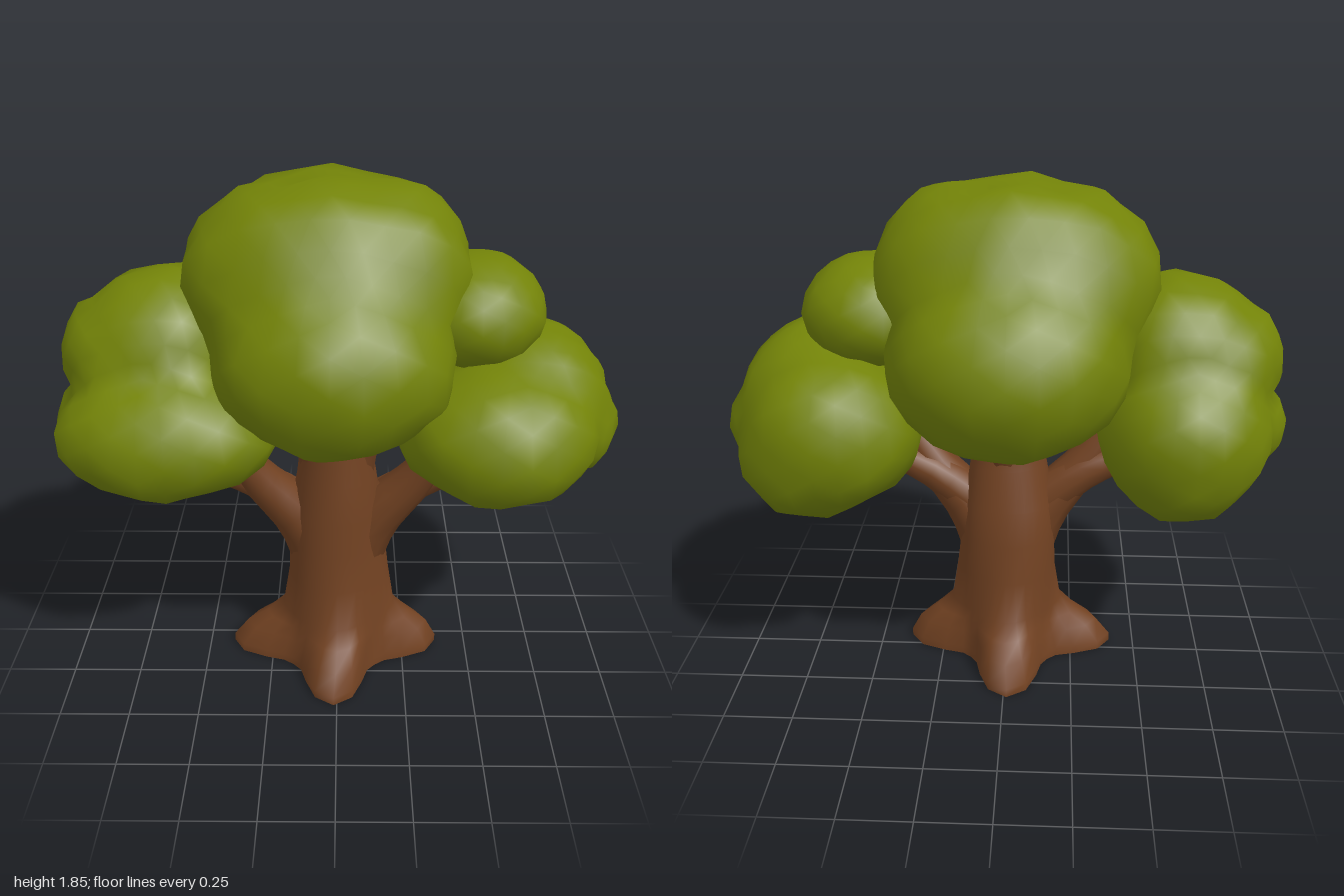
import * as THREE from 'three';
import { mergeVertices } from 'three/addons/utils/BufferGeometryUtils.js';

const leaf = new THREE.MeshStandardMaterial({ color: 0x738308 });
leaf.name = 'leaf green';
const bark = new THREE.MeshStandardMaterial({ color: 0x724222 });
bark.name = 'bark brown';

function add(parent, geometry, material, name) {
  const mesh = new THREE.Mesh(geometry, material);
  mesh.name = name;
  parent.add(mesh);
}

// Distance from the centre, along dir, to the far side of an ellipsoid lump
function reach(centre, dir, [c, r]) {
  const o = new THREE.Vector3(...centre).sub(new THREE.Vector3(...c)).divide(new THREE.Vector3(...r));
  const d = dir.clone().divide(new THREE.Vector3(...r));
  const a = d.dot(d), b = o.dot(d);
  const disc = b * b - a * (o.dot(o) - 1);
  return disc > 0 ? (-b + Math.sqrt(disc)) / a : 0;
}

// One skin wrapped around several overlapping lumps [centre, radii]
function foliageGeometry(centre, lumps, detail, seed) {
  let g = new THREE.IcosahedronGeometry(1, detail);
  g.deleteAttribute('uv');
  g.deleteAttribute('normal');
  g = mergeVertices(g, 1e-4);
  const p = g.attributes.position;
  const d = new THREE.Vector3();
  for (let i = 0; i < p.count; i++) {
    d.fromBufferAttribute(p, i).normalize();
    const rough = 1 + 0.015 * Math.sin(13 * d.x + 8 * d.y + seed) + 0.013 * Math.sin(14 * d.z - 9 * d.y + seed * 2.3);
    const r = rough * Math.max(...lumps.map((lump) => reach(centre, d, lump)));
    p.setXYZ(i, centre[0] + d.x * r, centre[1] + d.y * r, centre[2] + d.z * r);
  }
  g.computeVertexNormals();
  return g;
}

// Skin over rings [y, radius, root length, centre x, centre z]; roots point along x and z
function ringSkin(rings, sides = 32) {
  const pos = [], index = [];
  rings.forEach(([y, r, root, cx, cz], i) => {
    for (let j = 0; j < sides; j++) {
      const t = (j / sides) * Math.PI * 2;
      const lobe = (0.5 + 0.5 * Math.cos(4 * t)) ** 1.5;
      const q = r * (1 + 0.03 * Math.sin(3 * t + y * 5)) + root * lobe;
      pos.push(cx + q * Math.cos(t), y, cz + q * Math.sin(t));
      if (i === rings.length - 1) continue;
      const k = (j + 1) % sides;
      const a = i * sides + j, b = i * sides + k, c = a + sides, d = b + sides;
      index.push(a, c, b, b, c, d);
    }
  });
  const g = new THREE.BufferGeometry();
  g.setAttribute('position', new THREE.Float32BufferAttribute(pos, 3));
  g.setIndex(index);
  g.computeVertexNormals();
  return g;
}

// Tube that narrows from r0 to r1 along its path
function branchGeometry(points, r0, r1) {
  const curve = new THREE.CatmullRomCurve3(points.map((q) => new THREE.Vector3(...q)));
  const steps = 8, sides = 10;
  const g = new THREE.TubeGeometry(curve, steps, 1, sides);
  const p = g.attributes.position, v = new THREE.Vector3();
  for (let i = 0; i < p.count; i++) {
    const u = Math.floor(i / (sides + 1)) / steps;
    const c = curve.getPointAt(u);
    v.fromBufferAttribute(p, i).sub(c).multiplyScalar(r0 + (r1 - r0) * u).add(c);
    p.setXYZ(i, v.x, v.y, v.z);
  }
  return g;
}

export function createModel() {
  const tree = new THREE.Group();
  tree.name = 'tree';

  // Trunk with four spreading roots
  const base = [0, 0.215, 0.18, -0.012, 0.058];
  add(tree, ringSkin([
    base,
    [0.03, 0.215, 0.18, -0.012, 0.058],
    [0.1, 0.203, 0.145, -0.005, 0.058],
    [0.15, 0.198, 0.075, 0, 0.06],
    [0.2, 0.192, 0.02, 0, 0.06],
    [0.35, 0.183, 0.005, 0, 0.058],
    [0.5, 0.177, 0, -0.005, 0.056],
    [0.63, 0.168, 0, -0.005, 0.066],
    [0.78, 0.143, 0, 0, 0.08],
    [0.92, 0.122, 0, -0.005, 0.085],
    [1.05, 0.125, 0, -0.015, 0.085],
  ]), bark, 'trunk');
  add(tree, ringSkin([[0, 0, 0, -0.01, 0.06], base]), bark, 'trunkBase');

  // Forked side branches
  const branches = new THREE.Group();
  branches.name = 'branches';
  tree.add(branches);
  for (const s of [-1, 1]) {
    const side = s > 0 ? 'left' : 'right';
    add(branches, branchGeometry(
      [[s * 0.04, 0.4, 0.06], [s * 0.13, 0.58, 0.075], [s * 0.28, 0.755, 0.1], [s * 0.41, 0.95, 0.14]],
      0.125, 0.045), bark, side + 'UpperBranch');
    add(branches, branchGeometry(
      [[s * 0.1, 0.6, 0.07], [s * 0.29, 0.735, 0.075], [s * 0.45, 0.8, 0.09], [s * 0.62, 0.9, 0.11]],
      0.09, 0.035), bark, side + 'LowerBranch');
    add(branches, branchGeometry(
      [[s * 0.03, 0.75, 0.08], [s * 0.09, 0.95, 0.1], [s * 0.17, 1.08, 0.12]],
      0.1, 0.05), bark, side + 'CrownBranch');
  }
  add(branches, branchGeometry([[0, 0.75, 0.06], [0.02, 0.92, -0.02], [0.03, 1.06, -0.13]], 0.1, 0.05),
    bark, 'backBranch');

  // Foliage masses
  const canopy = new THREE.Group();
  canopy.name = 'canopy';
  tree.add(canopy);
  add(canopy, foliageGeometry([-0.02, 1.3, 0], [
    [[-0.035, 1.495, 0.11], [0.49, 0.34, 0.28]],
    [[-0.035, 1.495, -0.11], [0.49, 0.34, 0.28]],
    [[0.03, 1.5, 0], [0.4, 0.34, 0.3]],
    [[-0.2, 1.5, 0], [0.33, 0.31, 0.34]],
    [[0.15, 1.52, 0], [0.31, 0.3, 0.33]],
    [[-0.01, 1.27, 0.24], [0.41, 0.32, 0.365]],
    [[-0.01, 1.265, -0.24], [0.41, 0.33, 0.37]],
  ], 5, 1), leaf, 'middleFoliage');
  add(canopy, foliageGeometry([0.62, 1.03, 0.02], [
    [[0.66, 1.06, 0.02], [0.3, 0.27, 0.35]],
    [[0.78, 0.97, 0], [0.22, 0.18, 0.32]],
    [[0.55, 1.015, 0.24], [0.34, 0.235, 0.31]],
    [[0.6, 1, -0.2], [0.31, 0.27, 0.29]],
    [[0.68, 0.9, -0.17], [0.26, 0.22, 0.28]],
  ], 5, 2), leaf, 'leftFoliage');
  add(canopy, foliageGeometry([0.47, 1.38, 0.01], [
    [[0.47, 1.38, 0.01], [0.25, 0.195, 0.285]],
    [[0.52, 1.4, 0.01], [0.18, 0.17, 0.22]],
  ], 3, 3), leaf, 'leftUpperFoliage');
  add(canopy, foliageGeometry([-0.64, 1.06, 0.02], [
    [[-0.7, 1.23, 0], [0.27, 0.22, 0.29]],
    [[-0.6, 1.26, 0], [0.29, 0.26, 0.3]],
    [[-0.74, 0.99, 0.02], [0.26, 0.19, 0.32]],
    [[-0.58, 1.015, 0.25], [0.38, 0.22, 0.28]],
    [[-0.62, 1, -0.17], [0.3, 0.28, 0.29]],
    [[-0.62, 0.9, -0.15], [0.25, 0.22, 0.28]],
  ], 5, 4), leaf, 'rightFoliage');
  return tree;
}
